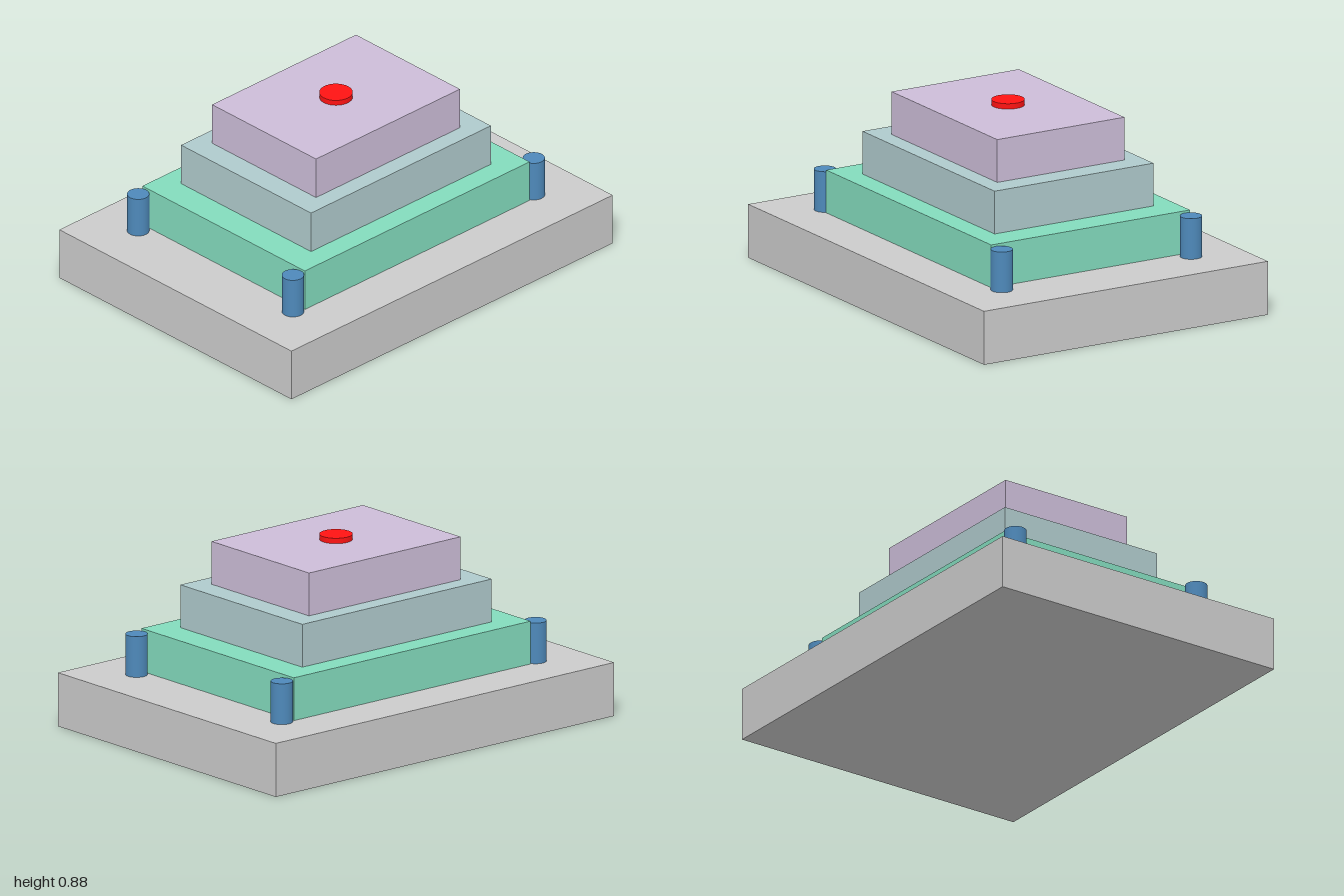
import * as THREE from 'three';

export function createModel() {
  const model = new THREE.Group();

  const add = (name, geometry, color, x, bottom, z, height) => {
    const mesh = new THREE.Mesh(geometry, new THREE.MeshStandardMaterial({ color }));
    mesh.name = name;
    mesh.position.set(x, bottom + height / 2, z);
    model.add(mesh);
  };
  const slab = (name, color, width, depth, bottom, height) =>
    add(name, new THREE.BoxGeometry(width, height, depth), color, 0, bottom, 0, height);
  const disc = (name, color, radius, x, z, bottom, height) =>
    add(name, new THREE.CylinderGeometry(radius, radius, height, 32), color, x, bottom, z, height);

  // Base plinth
  slab('base', 0xcccccc, 2, 1.5, 0, 0.25);

  // Three stacked tiers, each 0.8 times the size of the one below
  const tiers = [
    ['lowerTier', 0x83dbbd],
    ['middleTier', 0xafcacc],
    ['upperTier', 0xccbdd8],
  ];
  tiers.forEach(([name, color], i) => {
    const scale = 0.8 ** i;
    slab(name, color, 1.4 * scale, 1.05 * scale, 0.25 + 0.2 * i, 0.2);
  });

  // Button on the top tier
  disc('topButton', 0xff1313, 0.075, 0, 0, 0.85, 0.025);

  // Corner posts
  for (const [front, z] of [['front', 0.5], ['back', -0.5]]) {
    for (const [side, x] of [['Left', 0.75], ['Right', -0.75]]) {
      disc(`${front}${side}Post`, 0x4e89ba, 0.05, x, z, 0.25, 0.19);
    }
  }

  return model;
}
